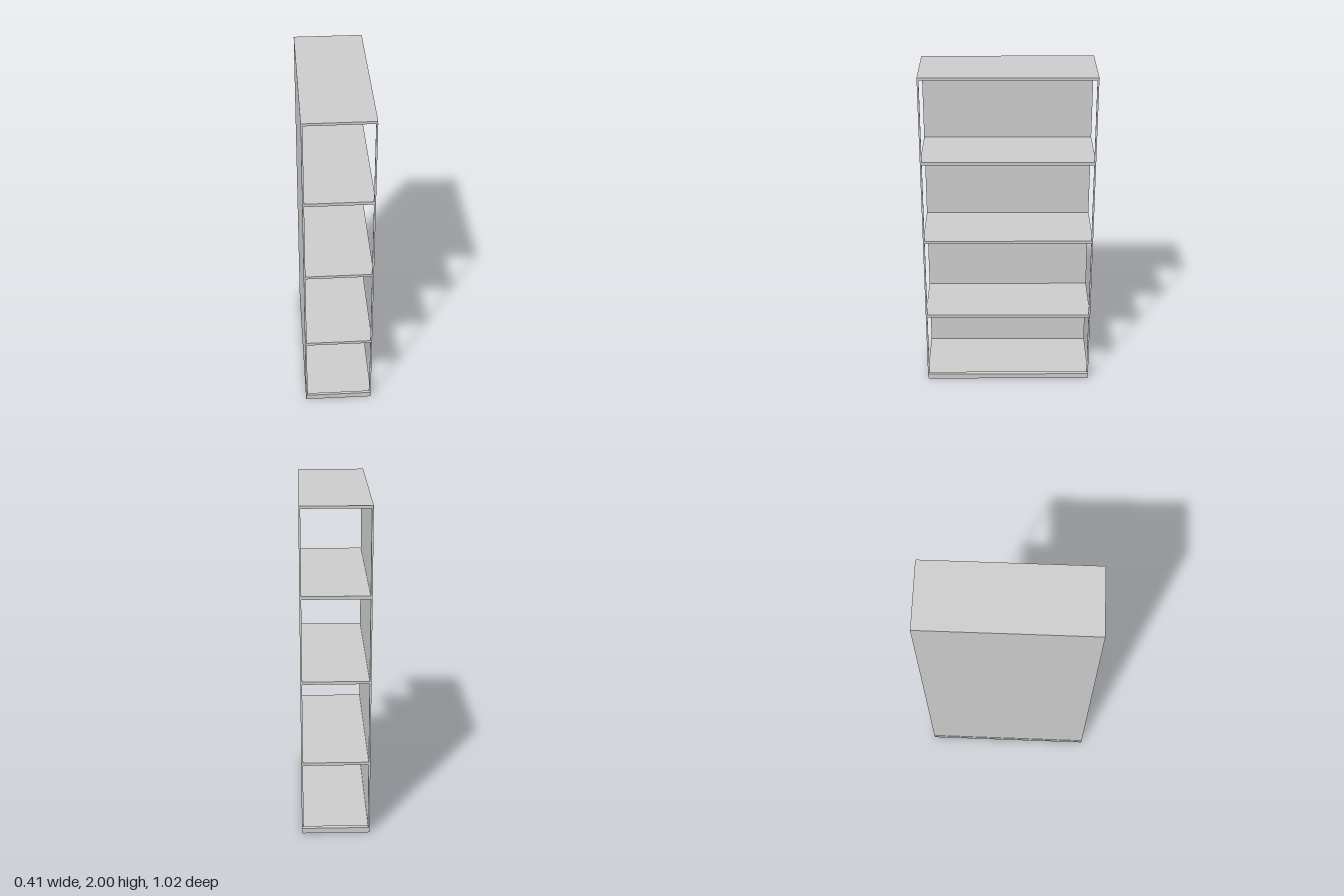
import * as THREE from 'three';

const HX = 0.203, HZ = 0.508;   // half width and half depth
const T = 0.01;                 // panel and post thickness
const FOOT = 0.046;             // underside of the posts and panels

export function createModel() {
  const group = new THREE.Group();
  const mat = new THREE.MeshStandardMaterial({ color: 0xcccccc, side: THREE.DoubleSide });

  const add = (name, geometry) => {
    const mesh = new THREE.Mesh(geometry, mat);
    mesh.name = name;
    group.add(mesh);
    return mesh;
  };
  const box = (name, x0, x1, y0, y1, z0, z1) =>
    add(name, new THREE.BoxGeometry(x1 - x0, y1 - y0, z1 - z0))
      .position.set((x0 + x1) / 2, (y0 + y1) / 2, (z0 + z1) / 2);

  // Horizontal slab outline: softer corners on the open side
  const outline = () => {
    const s = new THREE.Shape(), r = 0.01, q = 0.004;
    s.moveTo(-HX + q, -HZ);
    s.lineTo(HX - r, -HZ);
    s.quadraticCurveTo(HX, -HZ, HX, -HZ + r);
    s.lineTo(HX, HZ - r);
    s.quadraticCurveTo(HX, HZ, HX - r, HZ);
    s.lineTo(-HX + q, HZ);
    s.quadraticCurveTo(-HX, HZ, -HX, HZ - q);
    s.lineTo(-HX, -HZ + q);
    s.quadraticCurveTo(-HX, -HZ, -HX + q, -HZ);
    return s;
  };
  const slab = (name, y0, y1) => {
    const g = new THREE.ExtrudeGeometry(outline(), { depth: y1 - y0, bevelEnabled: false, curveSegments: 4 });
    g.rotateX(-Math.PI / 2);
    add(name, g).position.y = y0;
  };

  // Base, three shelves and top board
  slab('base', 0, 0.033);
  const shelves = [[0.451, 0.469], [0.964, 0.981], [1.472, 1.491]];
  shelves.forEach(([a, b]) => slab('shelf', a, b));
  slab('topBoard', 1.985, 2);

  // One closed side, with a panel and two posts for every bay
  const levels = [[0, FOOT], ...shelves, [1.985, 2]];
  for (let i = 0; i < 4; i++) {
    const y0 = levels[i][1], y1 = levels[i + 1][0];
    box('sidePanel', -HX, -HX + T, y0, y1, -HZ, HZ);
    for (const s of [-1, 1]) {
      const z = s * (HZ - T / 2);
      box(s > 0 ? 'frontPost' : 'backPost', HX - T, HX, y0, y1, z - T / 2, z + T / 2);
    }
  }

  // Shadow gap above the base: recessed spacer under the panel and thin bottom sheet
  box('panelSpacer', -HX + 0.003, -HX + T, 0.033, FOOT, -HZ + 0.006, HZ - 0.006);
  const sheet = new THREE.PlaneGeometry(HX * 2, HZ * 2).rotateX(-Math.PI / 2);
  add('bottomSheet', sheet).position.y = FOOT;

  return group;
}
